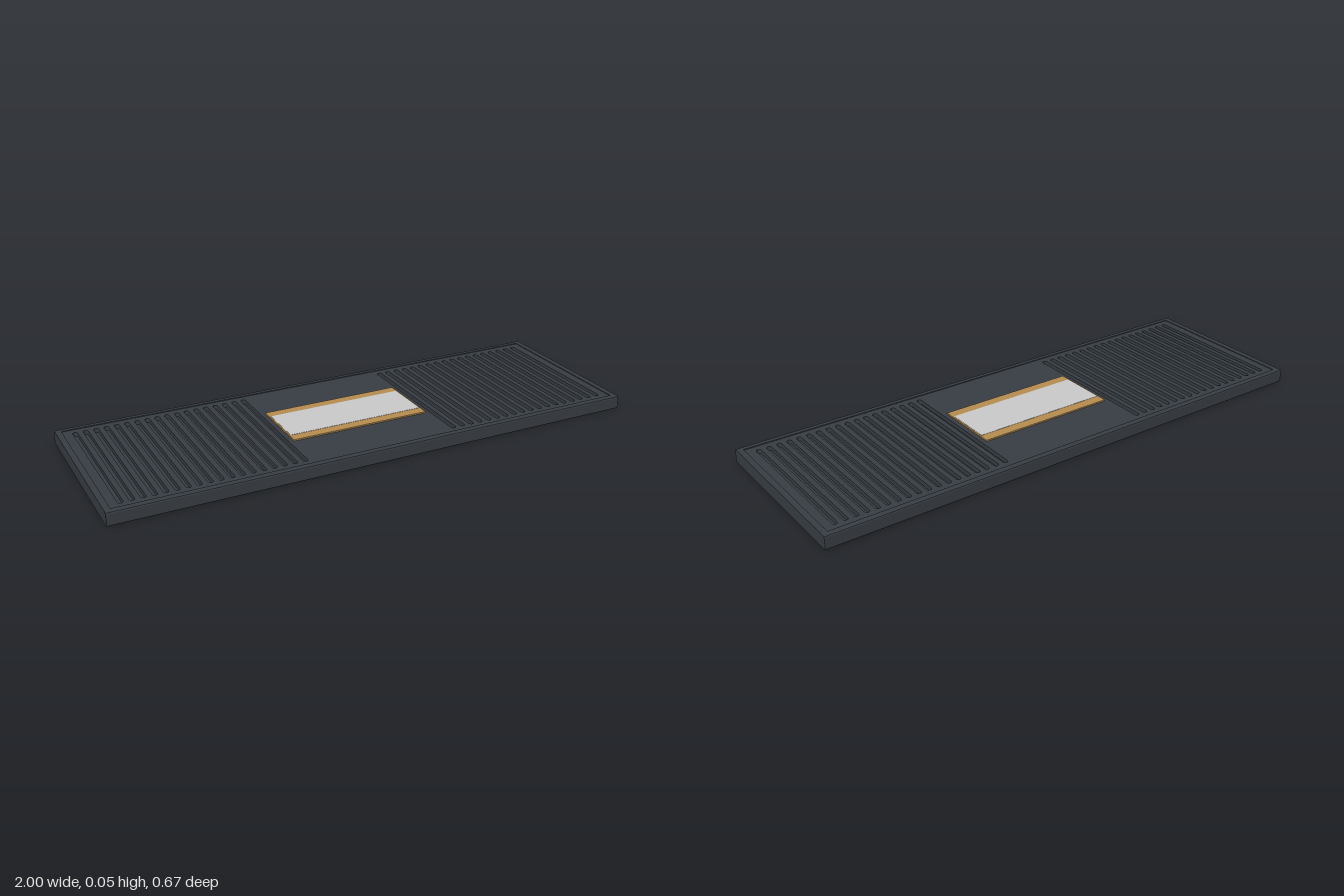
import * as THREE from 'three';

const L = 1, W = 0.335, SEAM = 0.032, TOP = 0.051, DECK = 0.048, RIM = 0.022, C = 0.006;

export function createModel() {
  const model = new THREE.Group();
  const charcoal = new THREE.MeshStandardMaterial({ color: 0x363c42 });
  const gold = new THREE.MeshStandardMaterial({ color: 0xb58b50 });
  const silver = new THREE.MeshStandardMaterial({ color: 0xc8c8c8 });
  charcoal.name = 'charcoal';
  gold.name = 'gold';
  silver.name = 'silver';

  const add = (name, geometry, material) => {
    const mesh = new THREE.Mesh(geometry, material);
    mesh.name = name;
    model.add(mesh);
    return mesh;
  };
  const box = (name, material, w, d, y0, y1, x = 0, z = 0) =>
    add(name, new THREE.BoxGeometry(w, y1 - y0, d), material).position.set(x, (y0 + y1) / 2, z);

  // Runs a z-y cross-section along the whole length
  const alongLength = (points) => {
    const shape = new THREE.Shape(points.map(([z, y]) => new THREE.Vector2(-z, y)));
    return new THREE.ExtrudeGeometry(shape, { depth: 2 * L, bevelEnabled: false })
      .rotateY(Math.PI / 2).translate(-L, 0, 0);
  };

  // Solid lower body with softened bottom edges
  add('base', alongLength([
    [-W + C, 0], [W - C, 0], [W - C * 0.3, C * 0.3], [W, C], [W, SEAM],
    [-W, SEAM], [-W, C], [-W + C * 0.3, C * 0.3],
  ]), charcoal);

  // Raised rim around the deck
  for (const s of [-1, 1]) {
    add(s > 0 ? 'frontRim' : 'backRim', alongLength([
      [s * (W - RIM), SEAM], [s * W, SEAM], [s * W, TOP - C],
      [s * (W - C * 0.3), TOP - C * 0.3], [s * (W - C), TOP], [s * (W - RIM), TOP],
    ]), charcoal);
    box(s > 0 ? 'leftRim' : 'rightRim', charcoal, RIM, 2 * (W - RIM), SEAM, TOP, s * (L - RIM / 2));
  }

  // Deck with a bank of round-ended slots on each side
  const x = L - RIM, z = W - RIM;
  const deck = new THREE.Shape([[-x, -z], [x, -z], [x, z], [-x, z]].map((p) => new THREE.Vector2(...p)));
  const r = 0.009, end = 0.288 - r;
  for (const s of [-1, 1]) {
    for (let i = 0; i < 18; i++) {
      const cx = s * (0.294 + i * 0.0378);
      const slot = new THREE.Path();
      slot.absarc(cx, end, r, 0, Math.PI, false);
      slot.absarc(cx, -end, r, Math.PI, 2 * Math.PI, false);
      slot.closePath();
      deck.holes.push(slot);
    }
  }
  add('slottedDeck', new THREE.ExtrudeGeometry(deck, {
    depth: DECK - SEAM, bevelEnabled: false, curveSegments: 6,
  }).rotateX(-Math.PI / 2).translate(0, SEAM, 0), charcoal);

  // Central gold plate with a silver inlay
  box('goldPlate', gold, 0.534, 0.256, DECK - 0.004, 0.053);
  box('silverInlay', silver, 0.524, 0.178, 0.05, 0.054);

  return model;
}
